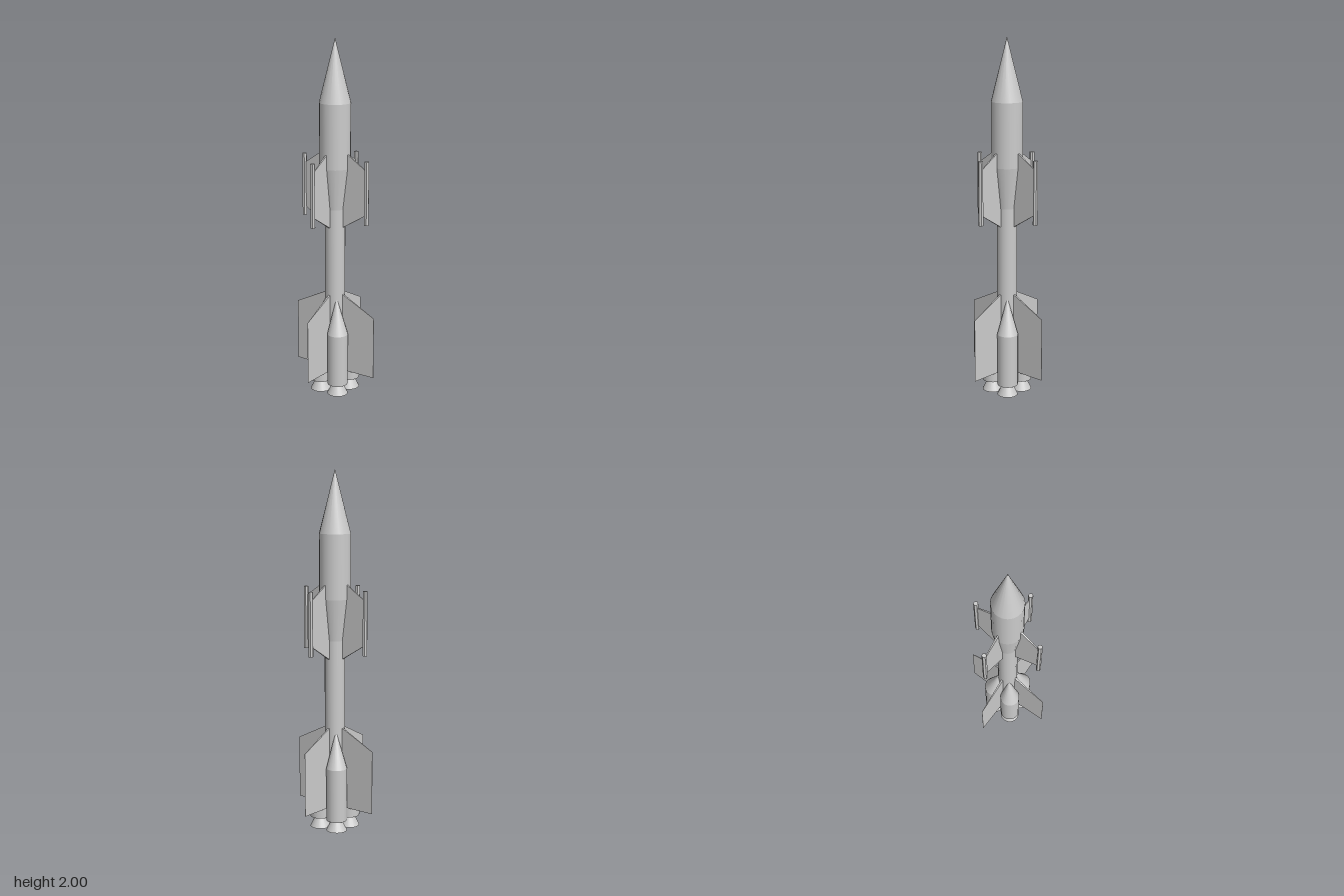
import * as THREE from 'three';

const SIDES = 20;

export function createModel() {
  const rocket = new THREE.Group();
  rocket.name = 'rocket';
  const grey = new THREE.MeshStandardMaterial({ color: 0xcccccc });
  const flatGrey = new THREE.MeshStandardMaterial({ color: 0xcccccc, flatShading: true });

  const add = (parent, name, geometry, material = grey) => {
    const mesh = new THREE.Mesh(geometry, material);
    mesh.name = name;
    parent.add(mesh);
    return mesh;
  };

  // Round section standing between two heights
  const section = (rBottom, rTop, y0, y1, open = false, sides = SIDES) =>
    new THREE.CylinderGeometry(rTop, rBottom, y1 - y0, sides, 1, open).translate(0, (y0 + y1) / 2, 0);

  // Tapered fin reaching out along +x; each end is { x, low, high, half }
  const fin = (root, tip) => {
    const g = new THREE.BoxGeometry(2, 2, 2);
    const p = g.attributes.position;
    for (let i = 0; i < p.count; i++) {
      const end = p.getX(i) < 0 ? root : tip;
      p.setXYZ(i, end.x, p.getY(i) < 0 ? end.low : end.high, Math.sign(p.getZ(i)) * end.half);
    }
    g.computeVertexNormals();
    return g;
  };

  // Central body
  add(rocket, 'noseCone', section(0.087, 0, 1.655, 2, true));
  add(rocket, 'upperBody', section(0.087, 0.087, 1.3, 1.655, true));
  add(rocket, 'bodyTaper', section(0.057, 0.087, 1.07, 1.3, true));
  add(rocket, 'lowerBody', section(0.057, 0.057, 0.12, 1.07));

  // Booster nose cone, leaning inward until its tip meets the body
  const boosterNose = section(0.058, 0, 0.36, 0.565, true);
  const p = boosterNose.attributes.position;
  for (let i = 0; i < p.count; i++) {
    p.setX(i, p.getX(i) - 0.0325 * (p.getY(i) - 0.36) / 0.205);
  }
  boosterNose.computeVertexNormals();

  const boosterTank = section(0.058, 0.058, 0.06, 0.36);
  const nozzle = section(0.058, 0.026, 0, 0.065);
  const upperFin = fin(
    { x: 0.04, low: 0.959, high: 1.41, half: 0.006 },
    { x: 0.205, low: 1.058, high: 1.303, half: 0.0025 });
  const lowerFin = fin(
    { x: 0.04, low: 0.12, high: 0.585, half: 0.006 },
    { x: 0.262, low: 0.12, high: 0.475, half: 0.0008 });
  const tipPod = section(0.0135, 0.0135, 1.003, 1.355, false, 6).rotateY(Math.PI / 2);

  for (let k = 0; k < 4; k++) {
    const angle = k * Math.PI / 2;

    // Fins on the four main directions
    const finSet = new THREE.Group();
    finSet.name = 'finSet';
    finSet.rotation.y = angle;
    add(finSet, 'upperFin', upperFin, flatGrey);
    add(finSet, 'lowerFin', lowerFin, flatGrey);
    rocket.add(finSet);

    // Pods at the upper fin tips all face the same way
    const pod = add(rocket, 'finTipPod', tipPod, flatGrey);
    pod.position.set(0.207 * Math.cos(angle), 0, -0.207 * Math.sin(angle));

    // Boosters on the diagonals
    const turn = new THREE.Group();
    turn.name = 'boosterMount';
    turn.rotation.y = angle + Math.PI / 4;
    const booster = new THREE.Group();
    booster.name = 'booster';
    booster.position.x = 0.082;
    add(booster, 'boosterNose', boosterNose);
    add(booster, 'boosterTank', boosterTank);
    add(booster, 'boosterNozzle', nozzle);
    turn.add(booster);
    rocket.add(turn);
  }
  return rocket;
}
